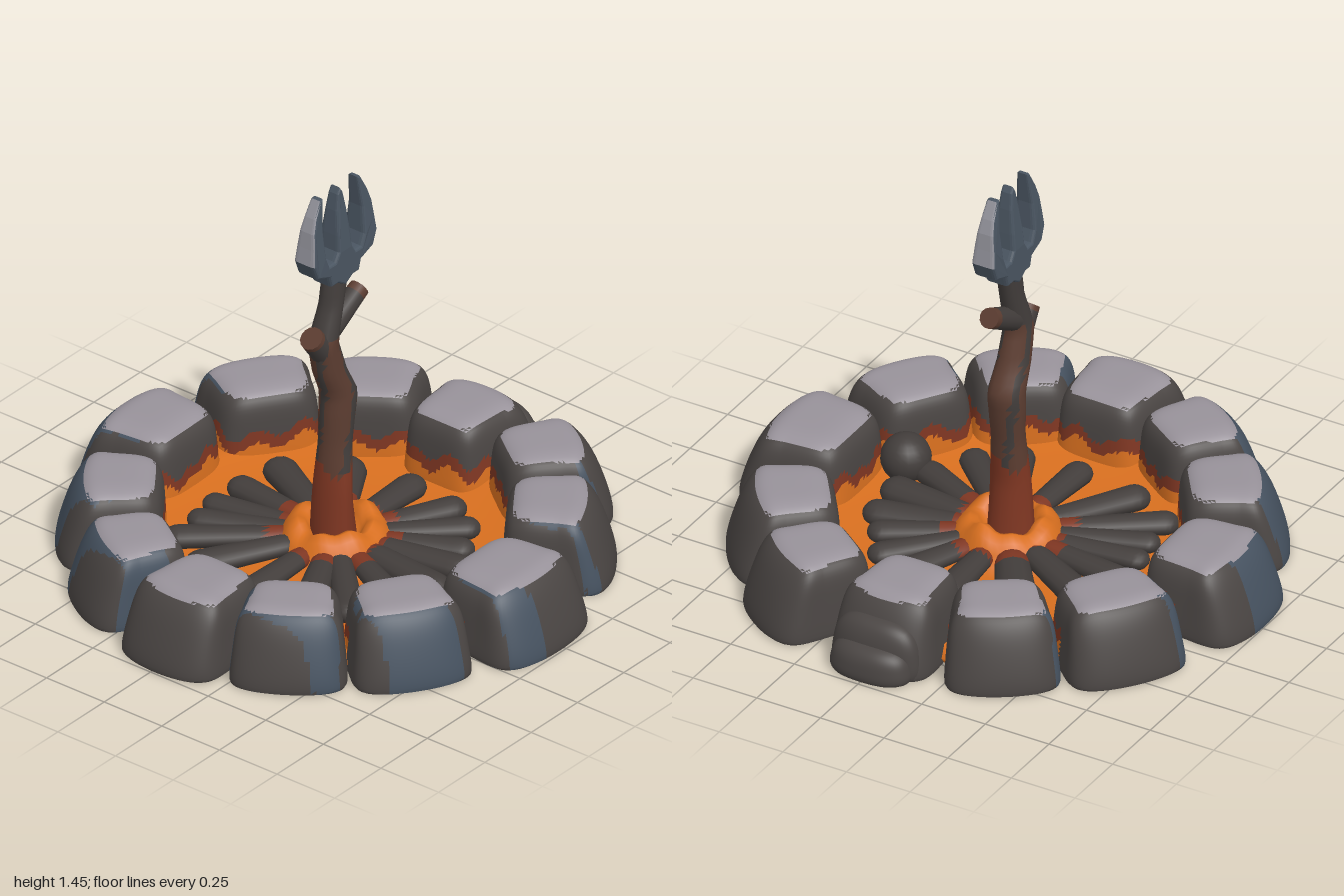
import * as THREE from 'three';
import { mergeVertices } from 'three/addons/utils/BufferGeometryUtils.js';

const PALETTE = [
  ['darkStone', 0x4a4543], ['stoneTop', 0x98929a], ['blueStone', 0x465260],
  ['lava', 0xd86f1f], ['emberRed', 0x7e3622], ['charcoal', 0x423d3b],
  ['bark', 0x5c3d31], ['iron', 0x4a5561], ['paleIron', 0x92929a],
];
const STONE = 0, TOP = 1, BLUE = 2, LAVA = 3, EMBER = 4, CHAR = 5, BARK = 6, IRON = 7, PALE = 8;

export function createModel() {
  const root = new THREE.Group();
  root.name = 'campfire';
  const mats = PALETTE.map(([name, color]) => {
    const m = new THREE.MeshStandardMaterial({ color });
    m.name = name;
    return m;
  });

  const add = (name, geo, mat) => {
    const mesh = new THREE.Mesh(geo, mat);
    mesh.name = name;
    root.add(mesh);
    return mesh;
  };

  // Move every vertex by a rule
  const deform = (geo, rule) => {
    const p = geo.attributes.position, v = new THREE.Vector3();
    for (let i = 0; i < p.count; i++) {
      rule(v.fromBufferAttribute(p, i));
      p.setXYZ(i, v.x, v.y, v.z);
    }
    return geo;
  };

  // Weld vertices for smooth shading
  const smooth = (geo) => {
    geo.deleteAttribute('normal');
    geo.deleteAttribute('uv');
    const g = mergeVertices(geo, 1e-4);
    g.clearGroups();
    g.computeVertexNormals();
    return g;
  };

  // Sort triangles into material groups by a rule on centre and normal
  const paint = (geo, rule) => {
    const p = geo.attributes.position;
    const n = geo.index ? geo.index.count : p.count;
    const at = (i) => (geo.index ? geo.index.getX(i) : i);
    const buckets = mats.map(() => []);
    const t = new THREE.Triangle(), c = new THREE.Vector3(), nrm = new THREE.Vector3();
    for (let i = 0; i < n; i += 3) {
      const ids = [at(i), at(i + 1), at(i + 2)];
      t.setFromAttributeAndIndices(p, ...ids);
      t.getMidpoint(c);
      t.getNormal(nrm);
      buckets[rule(c, nrm)].push(...ids);
    }
    geo.setIndex(buckets.flat());
    geo.clearGroups();
    let start = 0;
    buckets.forEach((b, k) => {
      if (b.length) geo.addGroup(start, b.length, k);
      start += b.length;
    });
    return geo;
  };

  // Rounded boulder with a flat base, leaning in on its bowed outer (+z) side
  const boulder = (hw, hd, h, lean, n) => deform(new THREE.BoxGeometry(2, 2, 2, 20, 20, 20), (v) => {
    v.divideScalar((Math.abs(v.x) ** n + Math.abs(v.y) ** n + Math.abs(v.z) ** n) ** (1 / n));
    const t = Math.max(0, (v.y + 0.6) / 1.6);
    const depth = v.z > 0 ? 1 - lean * t ** 1.4 - 0.2 * v.x * v.x : 1 - 0.08 * t;
    v.x *= hw * (1.04 - 0.16 * t) * (1 + 0.1 * v.z);
    v.z *= hd * depth;
    v.y = 0.004 + t * h;
  });

  // Ring of stones: x, z, half width, half depth, height, twist
  const stones = [
    [-0.015, -0.8, 0.208, 0.205, 0.272, 0], [0.42, -0.67, 0.2, 0.19, 0.275, -0.05],
    [0.668, -0.365, 0.185, 0.195, 0.275, 0.1], [0.73, 0, 0.178, 0.212, 0.272, 0],
    [0.69, 0.385, 0.185, 0.2, 0.275, -0.12], [0.415, 0.64, 0.2, 0.195, 0.275, 0.05],
    [-0.025, 0.79, 0.22, 0.21, 0.27, 0.04], [-0.425, 0.64, 0.195, 0.19, 0.275, 0],
    [-0.685, 0.355, 0.188, 0.185, 0.275, 0.1], [-0.785, 0.01, 0.188, 0.217, 0.272, -0.03],
    [-0.685, -0.355, 0.185, 0.19, 0.272, -0.1], [-0.42, -0.64, 0.198, 0.19, 0.275, 0.05],
  ];
  stones.forEach(([x, z, hw, hd, h, twist], i) => {
    const angle = Math.atan2(x, z) + twist;
    const geo = smooth(boulder(hw, hd, h, 0.45, 4.8).rotateY(angle).translate(x, 0, z));
    const out = new THREE.Vector3(x, 0, z).normalize();
    const blueLimit = z < 0 ? 0.08 : -0.1;
    paint(geo, (c, n) => {
      const facing = n.dot(out);
      if (n.y < -0.9) return LAVA;
      if (n.y > 0.78) return TOP;
      const inner = c.dot(out) < Math.hypot(x, z) - 0.04;
      const ragged = 0.018 * Math.sin(c.x * 23 + c.z * 31) + 0.012 * Math.sin(c.x * 57 - c.z * 49);
      if (inner && facing < 0.3 && c.y < 0.09 + ragged) return LAVA;
      if (inner && facing < 0.3 && c.y < 0.135 + ragged) return EMBER;
      if (facing > -0.1 && n.x < blueLimit && n.x > -0.72 && Math.abs(z) > 0.3) return BLUE;
      return STONE;
    });
    add(`ringStone${i + 1}`, geo, mats);

    // Hollow on the underside, glowing on one side of the ring
    const hollow = new THREE.CircleGeometry(1, 20).rotateX(Math.PI / 2).scale(0.09, 1, 0.038);
    hollow.rotateY(angle).translate(x, 0.001, z);
    add('undersideHollow', hollow, mats[i > 2 && i < 6 ? EMBER : STONE]);
  });

  // Small rubble against the side stone
  [[0.85, 0.165, 0.1, 0.2], [0.88, 0.15, 0.12, 0.125]].forEach(([x, hw, hd, h]) => {
    const geo = smooth(boulder(hw, hd, h, 0.15, 3).rotateY(Math.PI / 2).translate(x, 0, 0));
    add('rubbleStone', paint(geo, (c, n) => (n.y < -0.9 ? LAVA : STONE)), mats);
  });

  // Molten bed with a ragged crater mound in the middle
  const bed = [
    [0, 0.05], [0.05, 0.04], [0.07, 0.008], [0.12, 0.004], [0.76, 0.004], [0.78, 0.03], [0.75, 0.07],
    [0.64, 0.06], [0.54, 0.03], [0.24, 0.025], [0.2, 0.045], [0.185, 0.085],
    [0.16, 0.12], [0.13, 0.14], [0.105, 0.13], [0.09, 0.1], [0.07, 0.07], [0, 0.065],
  ].map(([r, y]) => new THREE.Vector2(r, y));
  const bedGeo = deform(new THREE.LatheGeometry(bed, 48), (v) => {
    const a = Math.atan2(v.z, v.x);
    if (v.y > 0.09) v.y += 0.012 * Math.sin(3 * a + 1) + 0.008 * Math.sin(7 * a);
  });
  add('moltenBed', smooth(bedGeo), mats[LAVA]);

  // Charred logs fanned around the mound: tip x, tip z, radius
  const logs = [
    [0.47, -0.01, 0.06], [0.41, -0.28, 0.078], [0.25, -0.47, 0.065], [0.06, -0.5, 0.056],
    [-0.09, -0.5, 0.048], [-0.21, -0.475, 0.048], [-0.36, -0.46, 0.054], [-0.46, -0.28, 0.06],
    [-0.5, -0.01, 0.055], [-0.48, 0.24, 0.062], [-0.38, 0.37, 0.056], [-0.22, 0.47, 0.055],
    [-0.05, 0.52, 0.067], [0.12, 0.5, 0.06], [0.23, 0.42, 0.052], [0.36, 0.34, 0.052],
    [0.44, 0.21, 0.056],
  ];
  logs.forEach(([x, z, r], i) => {
    const len = Math.hypot(x, z) - 0.13;
    const geo = deform(new THREE.CapsuleGeometry(r, len - 2 * r, 5, 12, 10), (v) => {
      const t = v.y / len + 0.5;
      v.x *= 0.72 + 0.28 * t;
      v.z *= (0.72 + 0.28 * t) * 0.75;
    });
    geo.rotateX(Math.PI / 2 + 0.03).translate(0, 0.064, 0.13 + len / 2).rotateY(Math.atan2(x, z));
    const glow = 0.205 + 0.035 * Math.sin(i * 2.4);
    add(`log${i + 1}`, paint(smooth(geo), (c) => (Math.hypot(c.x, c.z) < glow ? EMBER : CHAR)), mats);
  });
  add('coalLump', new THREE.SphereGeometry(0.088, 20, 14).translate(-0.2, 0.092, 0.52), mats[CHAR]);

  // Crooked stick: y, centre x, x radius, z radius
  const trunk = [
    [0.05, -0.01, 0.075, 0.085], [0.28, -0.015, 0.056, 0.074], [0.45, -0.005, 0.055, 0.06],
    [0.58, 0.004, 0.064, 0.066], [0.64, 0.01, 0.067, 0.065], [0.74, -0.035, 0.062, 0.058],
    [0.86, -0.065, 0.055, 0.053], [0.93, -0.045, 0.05, 0.048], [1.0, -0.022, 0.045, 0.042],
    [1.13, 0, 0.052, 0.04],
  ];
  const sample = (y) => {
    let i = 0;
    while (i < trunk.length - 2 && y > trunk[i + 1][0]) i++;
    const t = (y - trunk[i][0]) / (trunk[i + 1][0] - trunk[i][0]);
    return trunk[i].map((a, k) => a + (trunk[i + 1][k] - a) * t);
  };
  const stick = deform(new THREE.CylinderGeometry(1, 1, 1, 16, 36), (v) => {
    const y = 0.05 + (v.y + 0.5) * 1.08;
    const [, cx, rx, rz] = sample(y);
    const knot = 1 + 0.05 * Math.sin(3 * Math.atan2(v.z, v.x) + 9 * y);
    v.set(cx + v.x * rx * knot, y, v.z * rz * knot);
  });
  add('stick', paint(smooth(stick), (c) => {
    const a = Math.atan2(c.z, c.x - sample(c.y)[1]);
    if (c.y < 0.36 + 0.03 * Math.sin(2 * a)) return EMBER;
    if (c.y > 0.88 || Math.sin(3 * a + 7 * c.y) > 0.75) return CHAR;
    return BARK;
  }), mats);

  // Two cut twigs with brown ends
  const twig = (name, from, to, r0, r1) => {
    const a = new THREE.Vector3(...from), b = new THREE.Vector3(...to);
    const len = a.distanceTo(b);
    const geo = paint(new THREE.CylinderGeometry(r1, r0, len, 14, 6), (c) => (c.y > len * 0.28 ? BARK : CHAR));
    const mesh = add(name, geo, mats);
    mesh.position.copy(a).lerp(b, 0.5);
    mesh.quaternion.setFromUnitVectors(new THREE.Vector3(0, 1, 0), b.sub(a).normalize());
  };
  twig('leftTwig', [-0.03, 0.905, 0], [0.128, 0.99, 0], 0.043, 0.036);
  twig('rightTwig', [-0.06, 0.825, 0], [-0.132, 0.91, 0], 0.05, 0.042);

  // Three-pronged iron head: half outline, mirrored
  const half = [
    [0, 1.452], [0.014, 1.43], [0.025, 1.37], [0.033, 1.28], [0.036, 1.22], [0.055, 1.19], [0.085, 1.19],
    [0.102, 1.23], [0.106, 1.33], [0.092, 1.45], [0.108, 1.448], [0.14, 1.39], [0.157, 1.34],
    [0.163, 1.28], [0.171, 1.22], [0.15, 1.165], [0.085, 1.14], [0.074, 1.1], [0.04, 1.1], [0, 1.075],
  ];
  const outline = [...half, ...half.slice(1, -1).reverse().map(([x, y]) => [-x, y])];
  const shape = new THREE.Shape(outline.map(([x, y]) => new THREE.Vector2(x, y)));
  const head = new THREE.ExtrudeGeometry(shape, {
    depth: 0.056, bevelThickness: 0.018, bevelSize: 0.009, bevelOffset: -0.009, bevelSegments: 3,
  }).translate(0, 0, -0.028);
  deform(head, (v) => {
    v.z *= 1 - 0.52 * THREE.MathUtils.smoothstep(v.y, 1.2, 1.46);
  });
  head.computeVertexNormals();
  add('forkHead', paint(head, (c, n) =>
    (c.y > 1.23 && Math.abs(c.x) > 0.1 && n.x * Math.sign(c.x) > 0.6 ? PALE : IRON)), mats);

  return root;
}
